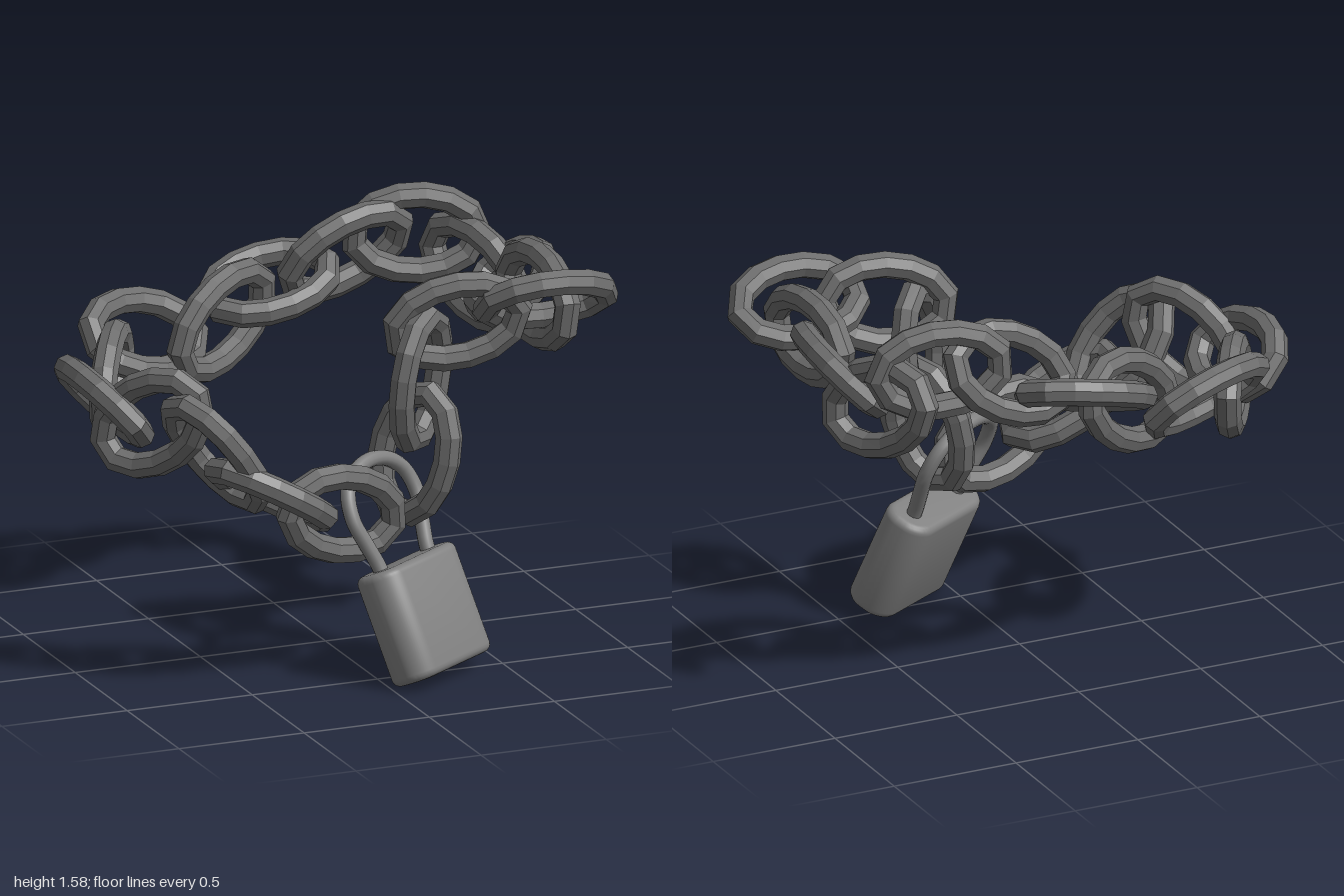
import * as THREE from 'three';
import { toCreasedNormals } from 'three/addons/utils/BufferGeometryUtils.js';

// Oval centreline of one chain link, long axis on x, lying in the xy plane
class OvalCurve extends THREE.Curve {
  getPoint(t, target = new THREE.Vector3()) {
    const a = t * Math.PI * 2;
    return target.set(0.238 * Math.cos(a), 0.147 * Math.sin(a), 0);
  }
}

// Rounded rectangle outline
function roundedRect(w, h, r) {
  const s = new THREE.Shape();
  const x = w / 2 - r, y = h / 2 - r;
  s.absarc(x, y, r, 0, Math.PI / 2);
  s.absarc(-x, y, r, Math.PI / 2, Math.PI);
  s.absarc(-x, -y, r, Math.PI, Math.PI * 1.5);
  s.absarc(x, -y, r, Math.PI * 1.5, Math.PI * 2);
  s.closePath();
  return s;
}

// Link centres around the loop, starting and ending at the padlock
const CENTRES = [
  [-0.125, 0.645, 0.46], [-0.4, 0.75, 0.45], [-0.6, 0.92, 0.4],
  [-0.775, 1, 0.2], [-0.865, 1.02, -0.05], [-0.73, 1.02, -0.3],
  [-0.515, 1.1, -0.51], [-0.215, 1.125, -0.48], [0.01, 1.22, -0.57],
  [0.28, 1.33, -0.49], [0.55, 1.38, -0.46], [0.75, 1.23, -0.36],
  [0.775, 1.28, -0.08], [0.77, 1.305, 0.19], [0.715, 1.355, 0.4],
  [0.375, 1.3, 0.36], [0.235, 1.09, 0.35], [0.22, 0.8, 0.33],
];

// Heading, climb and roll of each link, in degrees
const TURNS = [
  [11, -18, 9], [0, -30, 77], [-14, -53, 60],
  [-54, 35, 5], [-84, -6, 41], [59, 12, 0],
  [13, -9, -42], [22, 29, 5], [0, 12, -66],
  [-3, 24, 27], [-12, -3, 0], [-66, -27, 0],
  [90, -8, 46], [95, 6, 5], [0, -2, 49],
  [-12, 9, 8], [0, 83, 41], [-31, 76, -29],
];

function buildChain(material) {
  const chain = new THREE.Group();
  chain.name = 'chain';
  const geometry = new THREE.TubeGeometry(new OvalCurve(), 13, 0.051, 8, true);
  CENTRES.forEach((centre, i) => {
    const [heading, climb, roll] = TURNS[i].map(THREE.MathUtils.degToRad);
    const link = new THREE.Mesh(geometry, material);
    link.name = `chainLink${i + 1}`;
    link.rotation.set(roll, heading, climb, 'YZX');
    link.position.set(...centre);
    chain.add(link);
  });
  return chain;
}

function buildPadlock(material) {
  const lock = new THREE.Group();
  lock.name = 'padlock';
  const height = 0.43, bevel = 0.03;

  // Body: rounded plan with softened top and bottom edges
  let bodyGeo = new THREE.ExtrudeGeometry(roundedRect(0.42, 0.14, 0.06), {
    depth: height - 2 * bevel, bevelEnabled: true, bevelThickness: bevel,
    bevelSize: bevel, bevelSegments: 4, curveSegments: 8,
  });
  bodyGeo.translate(0, 0, -height / 2 + bevel);
  bodyGeo.rotateX(-Math.PI / 2);
  bodyGeo = toCreasedNormals(bodyGeo, 0.6);
  const body = new THREE.Mesh(bodyGeo, material);
  body.name = 'padlockBody';
  lock.add(body);

  // Shackle: legs flare out, then close in an arch
  const half = [[0.145, -0.04], [0.15, 0.02], [0.175, 0.11], [0.2, 0.21], [0.175, 0.31], [0.1, 0.37]];
  const points = [
    ...half.map(([x, y]) => [-x, y]),
    [0, 0.39],
    ...half.slice().reverse(),
  ].map(([x, y]) => new THREE.Vector3(x, y + height / 2, 0));
  const shackle = new THREE.Mesh(
    new THREE.TubeGeometry(new THREE.CatmullRomCurve3(points), 40, 0.029, 12), material);
  shackle.name = 'shackle';
  lock.add(shackle);

  // Key cylinder under the body: raised rim, plug and key slot
  const rim = new THREE.Mesh(new THREE.TorusGeometry(0.042, 0.005, 6, 24), material);
  rim.name = 'keyholeRim';
  rim.rotation.x = Math.PI / 2;
  const plug = new THREE.Mesh(new THREE.CylinderGeometry(0.03, 0.03, 0.008, 20), material);
  plug.name = 'keyPlug';
  const slot = new THREE.Mesh(new THREE.BoxGeometry(0.03, 0.006, 0.007), material);
  slot.name = 'keySlot';
  for (const part of [rim, plug, slot]) {
    part.position.set(-0.11, -height / 2, 0);
    lock.add(part);
  }
  slot.position.y -= 0.004;

  // Hangs turned to one side with its lower end swung forward
  lock.rotation.set(-0.41, 0.54, 0.03, 'YXZ');
  lock.position.set(0.182, 0.232, 0.508);
  return lock;
}

export function createModel() {
  const model = new THREE.Group();
  model.name = 'chainWithPadlock';
  const chainSteel = new THREE.MeshStandardMaterial({ color: 0x6c6c6c, flatShading: true });
  const lockSteel = new THREE.MeshStandardMaterial({ color: 0x808080 });
  model.add(buildChain(chainSteel), buildPadlock(lockSteel));
  return model;
}
